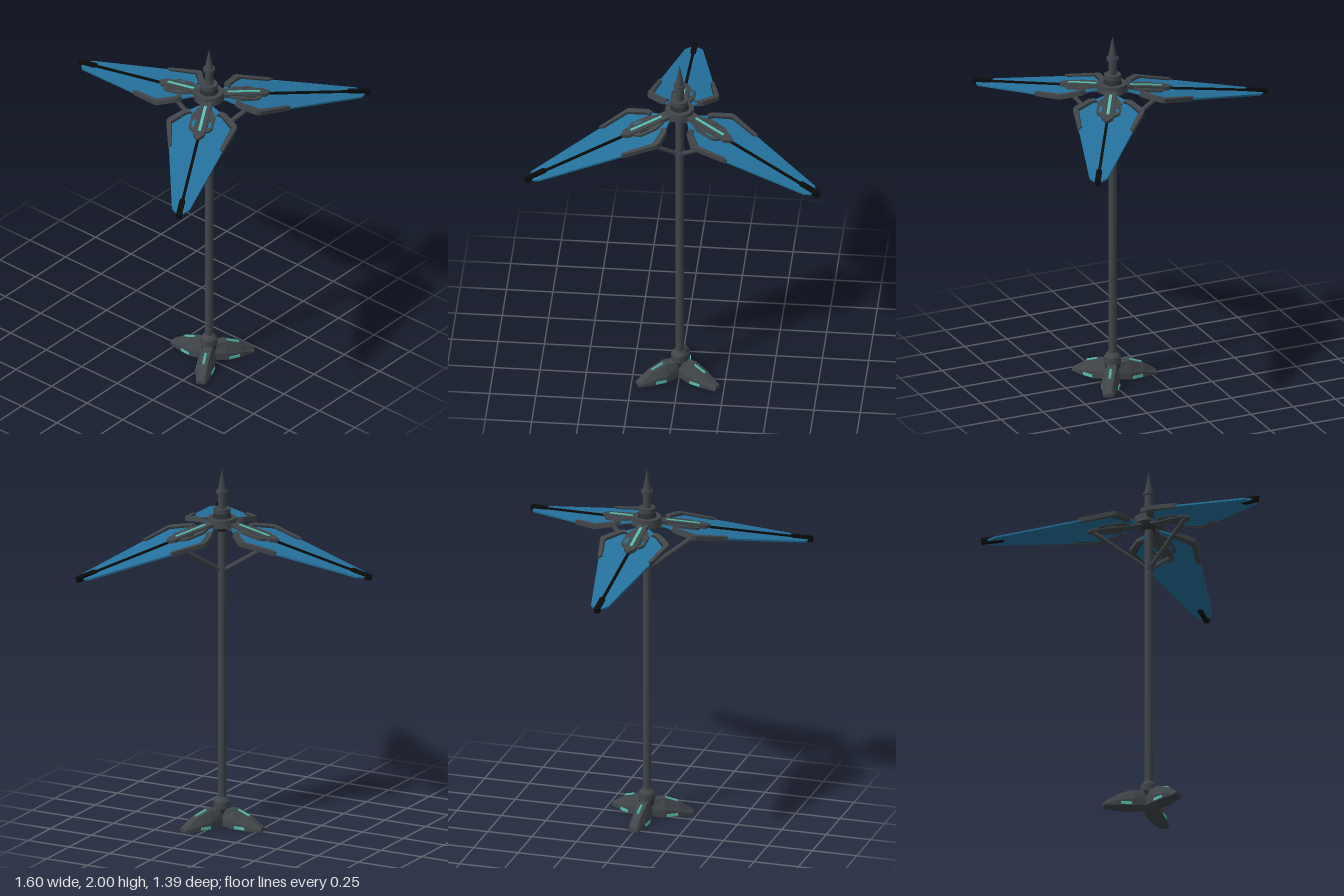
import * as THREE from 'three';

const mat = (name, color, side = THREE.FrontSide) => {
  const m = new THREE.MeshStandardMaterial({ color, side });
  m.name = name;
  return m;
};

export function createModel() {
  const metal = mat('gunmetal', 0x41464a);
  const dark = mat('darkMetal', 0x2a2d30);
  const black = mat('black', 0x0b0b0c);
  const blue = mat('panelBlue', 0x24719d);
  const teal = mat('tealLight', 0x55bfae);

  const root = new THREE.Group();
  root.name = 'threeBladeMast';
  const AXIS_Z = 0.223;

  const add = (parent, name, geo, material) => {
    const mesh = new THREE.Mesh(geo, material);
    mesh.name = name;
    parent.add(mesh);
    return mesh;
  };

  // Flat plate: points are [width, distance outwards], between heights y0 and y1
  const plate = (pts, y0, y1, hole) => {
    const toV = (list) => list.map(([w, s]) => new THREE.Vector2(w, s));
    const shape = new THREE.Shape(toV(pts));
    if (hole) shape.holes.push(new THREE.Path(toV(hole)));
    const g = new THREE.ExtrudeGeometry(shape, { depth: y1 - y0, bevelEnabled: false });
    return g.rotateX(-Math.PI / 2).translate(0, y0, 0);
  };
  const flip = (pts, s) => pts.map(([w, d]) => [w * s, d]);
  const symmetric = (pts) => [...pts, ...flip(pts, -1).reverse()];

  // Straight bar between two points
  const bar = (a, b, radius, sides) => {
    const dir = b.clone().sub(a);
    const g = new THREE.CylinderGeometry(radius, radius, dir.length(), sides);
    g.applyQuaternion(new THREE.Quaternion().setFromUnitVectors(new THREE.Vector3(0, 1, 0), dir.clone().normalize()));
    const mid = a.clone().add(b).multiplyScalar(0.5);
    return g.translate(mid.x, mid.y, mid.z);
  };

  // Loft of trapezoid sections [distance, bottom half width, top half width, bottom y, top y]
  const loft = (sections) => {
    const rings = sections.map(([d, wb, wt, y0, y1]) => {
      const ym = y0 + (y1 - y0) * 0.4;
      return [[-wb, y0, -d], [wb, y0, -d], [wb, ym, -d], [wt, y1, -d], [-wt, y1, -d], [-wb, ym, -d]];
    });
    const pos = [];
    const n = 6;
    for (let i = 0; i < rings.length - 1; i++) {
      for (let j = 0; j < n; j++) {
        const k = (j + 1) % n;
        const a = rings[i][j], b = rings[i][k], c = rings[i + 1][k], d = rings[i + 1][j];
        pos.push(...a, ...d, ...c, ...a, ...c, ...b);
      }
    }
    const first = rings[0], last = rings[rings.length - 1];
    for (let j = 1; j < n - 1; j++) {
      pos.push(...first[0], ...first[j], ...first[j + 1]);
      pos.push(...last[0], ...last[j + 1], ...last[j]);
    }
    const g = new THREE.BufferGeometry();
    g.setAttribute('position', new THREE.Float32BufferAttribute(pos, 3));
    g.computeVertexNormals();
    return g;
  };

  // Stacked round parts of the mast: [name, bottom y, top y, bottom radius, top radius, sides, material]
  const mast = new THREE.Group();
  mast.name = 'mast';
  mast.position.z = AXIS_Z;
  root.add(mast);
  [
    ['baseCore', 0.015, 0.1, 0.03, 0.045, 12, dark],
    ['baseCollar', 0.1, 0.14, 0.046, 0.046, 12, metal],
    ['baseCollarTop', 0.14, 0.163, 0.046, 0.028, 12, metal],
    ['pole', 0.1, 1.7, 0.023, 0.023, 16, metal],
    ['strutCollar', 1.42, 1.452, 0.028, 0.028, 12, metal],
    ['hubNeck', 1.655, 1.685, 0.032, 0.05, 12, dark],
    ['hub', 1.685, 1.73, 0.082, 0.078, 12, metal],
    ['hubCap', 1.73, 1.755, 0.052, 0.042, 12, dark],
    ['hubCapTop', 1.755, 1.782, 0.046, 0.046, 12, metal],
    ['spireNeck', 1.78, 1.865, 0.023, 0.023, 12, metal],
    ['spireRing', 1.862, 1.88, 0.032, 0.032, 12, metal],
    ['spire', 1.88, 2.0, 0.024, 0.0005, 12, metal],
  ].forEach(([name, y0, y1, r0, r1, sides, m]) => {
    const g = new THREE.CylinderGeometry(r1, r0, y1 - y0, sides).translate(0, (y0 + y1) / 2, 0);
    add(mast, name, g, m);
  });

  // Outlines of the blade parts
  const panelPts = symmetric([[0.022, 0.9], [0.048, 0.872], [0.145, 0.418], [0.18, 0.23], [0.105, 0.14], [0.03, 0.075]]);
  const framePts = [[0.142, 0.42], [0.151, 0.41], [0.193, 0.228], [0.187, 0.21], [0.115, 0.132], [0.085, 0.122],
    [0.075, 0.145], [0.1, 0.158], [0.166, 0.235], [0.134, 0.4]];
  const trimPts = [[0.13, 0.4], [0.142, 0.4], [0.172, 0.238], [0.1, 0.152], [0.07, 0.138], [0.068, 0.148], [0.095, 0.16], [0.16, 0.24]];
  const mountPts = [[0.02, 0.3], [0.052, 0.28], [0.065, 0.26], [0.065, 0.165], [0.035, 0.11], [0.02, 0.11]];
  const mountHole = [[0.036, 0.262], [0.053, 0.25], [0.053, 0.215], [0.036, 0.195]];
  const beamPts = symmetric([[0.004, 0.352], [0.031, 0.318], [0.031, 0.05]]);

  for (let k = 0; k < 3; k++) {
    const arm = new THREE.Group();
    arm.name = 'arm' + (k + 1);
    arm.position.z = AXIS_Z;
    arm.rotation.y = (k * Math.PI * 2) / 3;
    root.add(arm);

    // Blade, sloping down to its tip
    const blade = new THREE.Group();
    blade.name = 'blade';
    blade.position.y = 1.705;
    blade.rotation.x = -0.198;
    arm.add(blade);
    add(blade, 'panel', plate(panelPts, -0.012, -0.002), blue);
    add(blade, 'beam', plate(beamPts, -0.022, 0.018), metal);
    add(blade, 'lightStrip', plate(symmetric([[0.008, 0.292], [0.008, 0.105]]), 0.018, 0.021), teal);
    add(blade, 'spine', new THREE.BoxGeometry(0.014, 0.014, 0.5).translate(0, 0, -0.59), black);
    add(blade, 'tipCap', plate(symmetric([[0.01, 0.932], [0.015, 0.925], [0.015, 0.815], [0.01, 0.808]]), -0.016, 0.012), black);
    for (const s of [-1, 1]) {
      add(blade, 'edgeFrame', plate(flip(framePts, s), -0.017, 0.008), metal);
      add(blade, 'frameTrim', plate(flip(trimPts, s), -0.014, 0.002), dark);
      add(blade, 'sideMount', plate(flip(mountPts, s), -0.016, 0.01, flip(mountHole, s)), metal);
    }

    // Diagonal brace below the blade
    add(arm, 'strut', bar(new THREE.Vector3(0, 1.435, -0.015), new THREE.Vector3(0, 1.635, -0.325), 0.013, 8), metal);

    // Foot with glowing strips
    const foot = new THREE.Group();
    foot.name = 'foot';
    arm.add(foot);
    add(foot, 'footBody', loft([
      [0.0, 0.035, 0.025, 0.015, 0.1],
      [0.09, 0.048, 0.026, 0.002, 0.104],
      [0.17, 0.042, 0.022, 0, 0.073],
      [0.25, 0.026, 0.014, 0, 0.022],
    ]), metal);
    add(foot, 'footTopLight', bar(new THREE.Vector3(0, 0.1, -0.1), new THREE.Vector3(0, 0.075, -0.168), 0.008, 4), teal);
    for (const s of [-1, 1]) {
      const strip = new THREE.BoxGeometry(0.006, 0.016, 0.06).rotateY(s * 0.075).translate(s * 0.0455, 0.013, -0.13);
      add(foot, 'footSideLight', strip, teal);
    }
  }
  return root;
}
